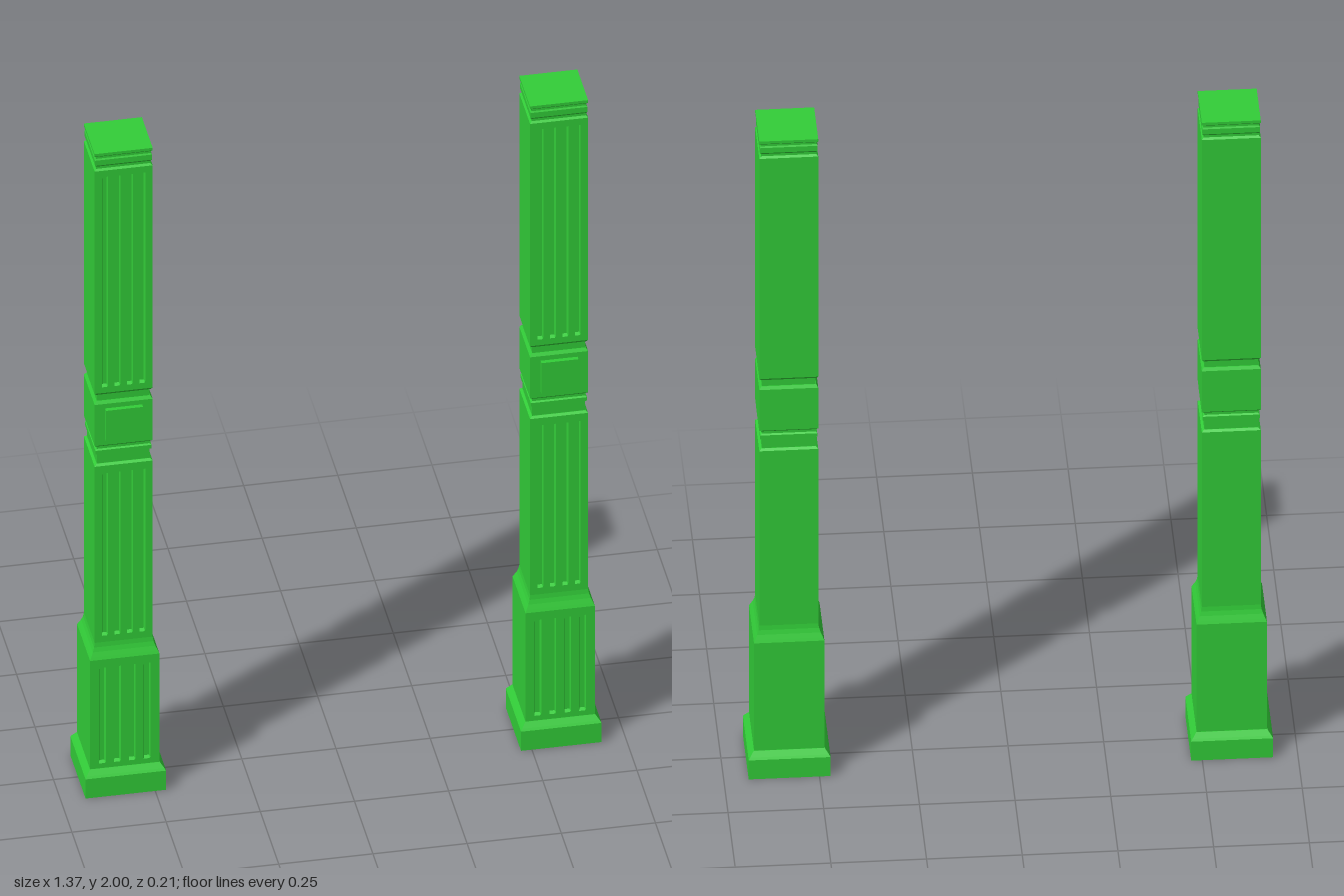
import * as THREE from 'three';

const material = new THREE.MeshStandardMaterial({ color: 0x32cd38, flatShading: true });

// Rectangular section with four rectangular-bottomed flutes in its front edge
function section([y, w, flute = 0]) {
  const d = w - 0.004;
  const pts = [[-w, y, d]];
  for (let i = 0; i < 4; i++) {
    const c = (-0.645 + i * 0.43) * w, h = 0.1 * w;
    pts.push([c - h, y, d], [c - h * 0.7, y, d - flute], [c + h * 0.7, y, d - flute], [c + h, y, d]);
  }
  pts.push([w, y, d], [w, y, -d], [-w, y, -d]);
  return pts;
}

// Skin the sections from bottom to top and cap both ends
function loft(levels) {
  const rings = levels.map(section);
  const n = rings[0].length;
  const pos = [];
  const tri = (a, b, c) => pos.push(...a, ...b, ...c);
  for (let k = 0; k < rings.length - 1; k++) {
    for (let i = 0; i < n; i++) {
      const j = (i + 1) % n;
      const [a, b, c, d] = [rings[k][i], rings[k][j], rings[k + 1][j], rings[k + 1][i]];
      tri(a, b, c);
      tri(a, c, d);
    }
  }
  const bottom = rings[0], top = rings[rings.length - 1];
  for (let i = 0; i < n; i++) {
    const j = (i + 1) % n;
    tri([0, levels[0][0], 0], bottom[j], bottom[i]);
    tri([0, levels[levels.length - 1][0], 0], top[i], top[j]);
  }
  const geo = new THREE.BufferGeometry();
  geo.setAttribute('position', new THREE.Float32BufferAttribute(pos, 3));
  geo.computeVertexNormals();
  return geo;
}

// Levels of a fluted stretch: flutes start and stop just inside its ends
function fluted(y0, y1, w) {
  const f = 0.009;
  return [[y0, w], [y0 + 0.005, w, f], [y1 - 0.005, w, f], [y1, w]];
}

function createColumn() {
  const column = new THREE.Group();
  const add = (name, geo) => {
    const mesh = new THREE.Mesh(geo, material);
    mesh.name = name;
    column.add(mesh);
    return mesh;
  };

  const S = 0.077; // half width of the shaft
  add('plinth', loft([[0, 0.107], [0.06, 0.107], [0.066, 0.103], [0.08, 0.093]]));
  add('pedestal', loft([
    [0.08, 0.092], ...fluted(0.095, 0.395, 0.092), [0.42, 0.092],
    [0.428, 0.0885], [0.44, 0.083], [0.452, 0.079], [0.465, S],
  ]));
  add('lowerShaft', loft([[0.465, S], ...fluted(0.485, 0.995, S), [1.018, S], [1.023, 0.071]]));
  add('lowerNeck', loft([
    [1.023, 0.07], [1.052, 0.07], [1.055, 0.0745], [1.066, 0.0745], [1.069, 0.07], [1.077, 0.07],
  ]));
  add('middleBlock', loft([[1.077, 0.071], [1.083, S], [1.212, S], [1.22, 0.072]]));
  add('upperNeck', loft([[1.22, 0.07], [1.24, 0.07]]));
  add('upperShaft', loft([[1.24, 0.072], [1.247, S], ...fluted(1.265, 1.925, S), [1.945, S], [1.95, 0.072]]));
  add('capital', loft([
    [1.95, 0.072], [1.957, 0.072], [1.962, 0.0755], [1.978, 0.0755], [1.982, 0.073],
    [1.988, 0.073], [1.992, S], [2, S],
  ]));

  // Raised square on the front of the middle block
  const panel = add('frontPanel', new THREE.BoxGeometry(0.098, 0.098, 0.02));
  panel.position.set(0, 1.149, 0.075);
  return column;
}

export function createModel() {
  const model = new THREE.Group();
  model.name = 'columnPair';
  for (const [name, x] of [['leftColumn', 0.578], ['rightColumn', -0.578]]) {
    const column = createColumn();
    column.name = name;
    column.position.x = x;
    model.add(column);
  }
  return model;
}
